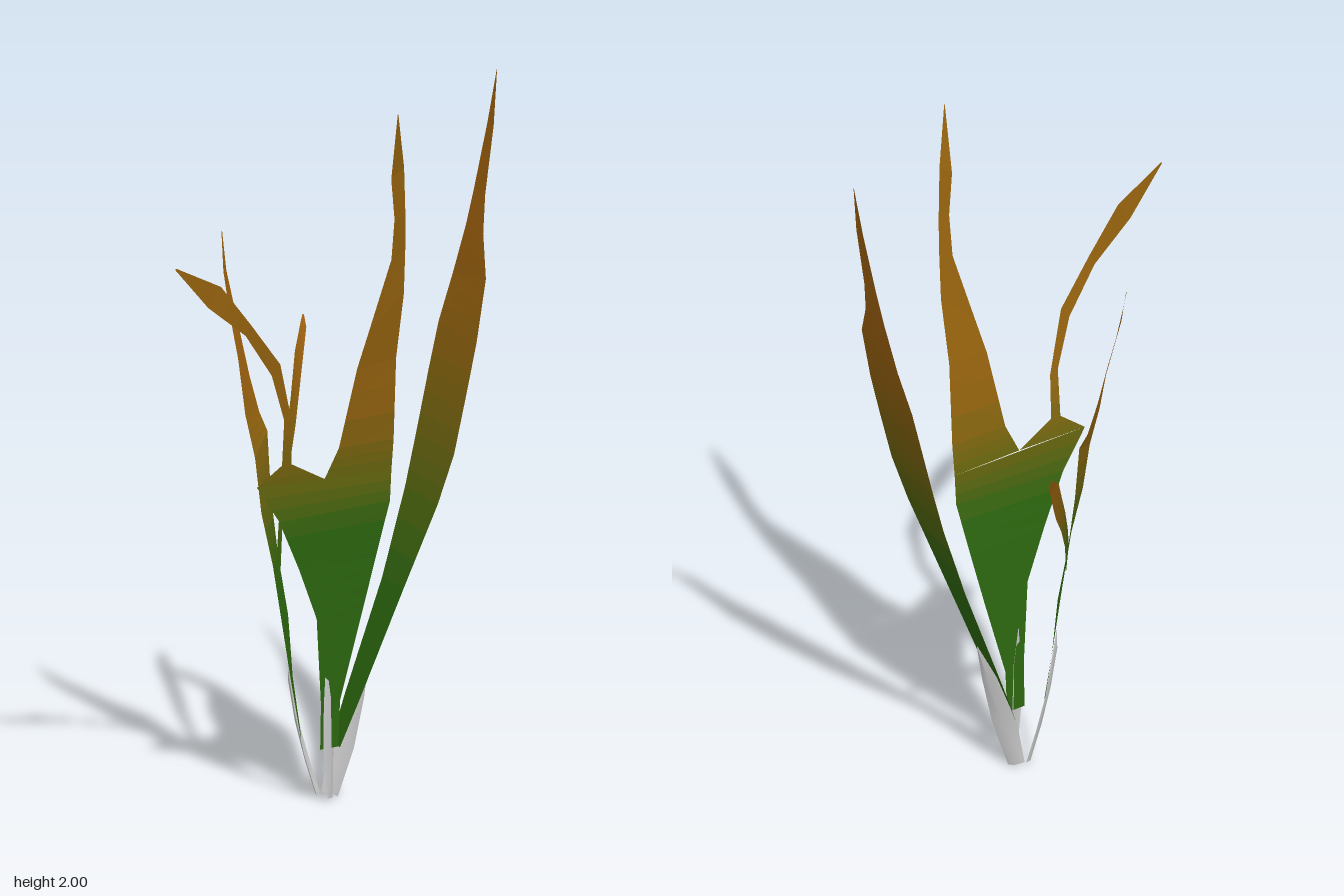
import * as THREE from 'three';

const GREEN = new THREE.Color(0x2c660f), ORANGE = new THREE.Color(0xa0620e);

// One quad band between two cross-sections [left xyz, right xyz]
function band(a, b, color, name) {
  const g = new THREE.BufferGeometry();
  g.setAttribute('position', new THREE.Float32BufferAttribute([...a, ...b], 3));
  g.setIndex([0, 1, 3, 0, 3, 2]);
  g.computeVertexNormals();
  const m = new THREE.Mesh(g, new THREE.MeshStandardMaterial({ color, side: THREE.DoubleSide }));
  m.name = name;
  return m;
}

// Blade lofted through cross-sections; its colour ripens from green to orange between y0 and y1
function blade(name, rows, y0, y1, ripe = 1, steps = 3) {
  const group = new THREE.Group();
  group.name = name;
  const mix = (a, b, t) => a.map((v, i) => v + (b[i] - v) * t);
  for (let i = 0; i < rows.length - 1; i++) {
    for (let s = 0; s < steps; s++) {
      const a = mix(rows[i], rows[i + 1], s / steps);
      const b = mix(rows[i], rows[i + 1], (s + 1) / steps);
      const y = (a[1] + a[4] + b[1] + b[4]) / 4;
      const color = GREEN.clone().lerp(ORANGE, ripe * THREE.MathUtils.smoothstep(y, y0, y1));
      group.add(band(a, b, color, name + 'Band'));
    }
  }
  return group;
}

// Small grey shoot, lightly folded along its middle
function sprout(name, rows, fold) {
  const pos = [], index = [];
  rows.forEach((r, i) => {
    const w = i === rows.length - 1 ? 0 : 1;
    pos.push(...r.slice(0, 3));
    pos.push((r[0] + r[3]) / 2 + fold[0] * w, (r[1] + r[4]) / 2, (r[2] + r[5]) / 2 + fold[1] * w);
    pos.push(...r.slice(3));
    if (i) for (const c of [0, 1]) {
      const p = (i - 1) * 3 + c;
      index.push(p, p + 1, p + 4, p, p + 4, p + 3);
    }
  });
  const g = new THREE.BufferGeometry();
  g.setAttribute('position', new THREE.Float32BufferAttribute(pos, 3));
  g.setIndex(index);
  g.computeVertexNormals();
  const m = new THREE.Mesh(g, new THREE.MeshStandardMaterial({ color: 0xcccccc, side: THREE.DoubleSide }));
  m.name = name;
  return m;
}

export function createModel() {
  const plant = new THREE.Group();
  plant.name = 'plant';

  // Front leaf: lower blade, tall right half, torn left lobe and its thin strand
  const front = new THREE.Group();
  front.name = 'frontLeaf';
  front.add(
    blade('frontLowerBlade', [
      [-0.02, 0.15, 0.18, 0.04, 0.15, 0.17],
      [-0.02, 0.28, 0.185, 0.045, 0.28, 0.17],
      [-0.04, 0.53, 0.2, 0.11, 0.52, 0.172],
      [-0.1, 0.68, 0.215, 0.15, 0.68, 0.178],
      [-0.17, 0.83, 0.235, 0.185, 0.84, 0.195],
      [-0.245, 0.94, 0.25, 0.187, 0.93, 0.2]], 0.75, 1.15, 0.8),
    blade('frontUpperBlade', [
      [-0.03, 0.935, 0.23, 0.187, 0.93, 0.2],
      [0.01, 1.02, 0.237, 0.188, 1.02, 0.212],
      [0.05, 1.25, 0.27, 0.18, 1.26, 0.245],
      [0.08, 1.36, 0.285, 0.187, 1.45, 0.28],
      [0.135, 1.56, 0.31, 0.18, 1.6, 0.305],
      [0.135, 1.68, 0.33, 0.173, 1.68, 0.32],
      [0.118, 1.8, 0.345, 0.157, 1.83, 0.345],
      [0.117, 2, 0.39, 0.12, 1.99, 0.388]], 0.75, 1.2, 0.85),
    blade('frontLobe', [
      [-0.245, 0.94, 0.25, -0.03, 0.935, 0.23],
      [-0.17, 0.995, 0.252, -0.14, 0.995, 0.25]], 0.75, 1.15, 0.8),
    blade('frontStrand', [
      [-0.17, 0.99, 0.252, -0.14, 0.99, 0.25],
      [-0.175, 1.13, 0.277, -0.15, 1.12, 0.275],
      [-0.225, 1.27, 0.303, -0.2, 1.3, 0.305],
      [-0.315, 1.4, 0.325, -0.3, 1.43, 0.328],
      [-0.44, 1.5, 0.35, -0.4, 1.555, 0.347],
      [-0.555, 1.63, 0.379, -0.55, 1.632, 0.378]], 0.75, 1.2, 0.85));
  plant.add(front);

  // Wide leaf leaning to the left side
  plant.add(blade('sideLeaf', [
    [0.04, 0.15, 0.18, 0.04, 0.15, 0.12],
    [0.085, 0.28, 0.205, 0.085, 0.28, 0.115],
    [0.2, 0.6, 0.25, 0.2, 0.6, 0.113],
    [0.285, 0.84, 0.29, 0.285, 0.84, 0.08],
    [0.33, 0.98, 0.3, 0.33, 0.98, 0.055],
    [0.38, 1.15, 0.278, 0.38, 1.15, 0.03],
    [0.415, 1.28, 0.265, 0.415, 1.28, 0.02],
    [0.455, 1.45, 0.24, 0.455, 1.42, 0.03],
    [0.48, 1.56, 0.17, 0.48, 1.56, 0.06],
    [0.5, 1.66, 0.14, 0.5, 1.66, 0.068],
    [0.533, 1.85, 0.125, 0.533, 1.85, 0.085],
    [0.555, 2, 0.1, 0.555, 2, 0.098]], 0.55, 1.6));

  // Back leaf with its own strand
  const back = new THREE.Group();
  back.name = 'backLeaf';
  back.add(
    blade('backBlade', [
      [-0.06, 0.18, 0.14, -0.05, 0.18, 0.12],
      [-0.095, 0.35, 0.15, -0.075, 0.35, 0.12],
      [-0.125, 0.52, 0.155, -0.075, 0.52, 0.09],
      [-0.15, 0.68, 0.152, -0.095, 0.68, 0.07],
      [-0.175, 0.83, 0.13, -0.11, 0.85, 0.055],
      [-0.18, 0.98, 0.1, -0.105, 1.03, 0.02],
      [-0.2, 1.1, 0.08, -0.12, 1.08, 0],
      [-0.203, 1.25, 0.04, -0.14, 1.18, -0.02],
      [-0.208, 1.36, 0, -0.165, 1.36, -0.06],
      [-0.21, 1.48, -0.04, -0.18, 1.47, -0.085],
      [-0.183, 1.575, -0.11, -0.18, 1.575, -0.112]], 0.6, 1.25),
    blade('backStrand', [
      [-0.095, 0.6, 0.08, -0.1, 0.7, 0.072],
      [-0.05, 0.74, 0, -0.058, 0.8, 0],
      [0.015, 0.86, -0.1, 0.003, 0.92, -0.1],
      [0.085, 0.97, -0.2, 0.07, 1.05, -0.2],
      [0.15, 1.09, -0.3, 0.13, 1.15, -0.3],
      [0.2, 1.19, -0.375, 0.185, 1.21, -0.378],
      [0.2, 1.222, -0.39, 0.195, 1.225, -0.389]], 0.6, 1.2));
  plant.add(back);

  // Three shoots at the base
  plant.add(
    sprout('leftSprout', [
      [0.012, 0.01, 0.12, 0.05, 0, 0.145],
      [0.035, 0.14, 0.12, 0.09, 0.14, 0.165],
      [0.095, 0.3, 0.128, 0.118, 0.28, 0.17],
      [0.143, 0.4, 0.15, 0.145, 0.4, 0.15]], [0.008, -0.006]),
    sprout('rightSprout', [
      [-0.012, 0.01, 0.14, 0.01, 0.01, 0.115],
      [-0.05, 0.13, 0.14, -0.02, 0.1, 0.115],
      [-0.077, 0.25, 0.138, -0.05, 0.2, 0.117],
      [-0.095, 0.37, 0.133, -0.073, 0.32, 0.12],
      [-0.092, 0.4, 0.125, -0.09, 0.4, 0.125]], [-0.006, -0.006]),
    sprout('frontSprout', [
      [0, 0.01, 0.185, 0.03, 0.005, 0.15],
      [-0.015, 0.15, 0.19, 0.032, 0.15, 0.155],
      [-0.015, 0.28, 0.193, 0.022, 0.3, 0.165],
      [-0.003, 0.4, 0.182, 0, 0.4, 0.18]], [0.006, 0.006]));

  return plant;
}
